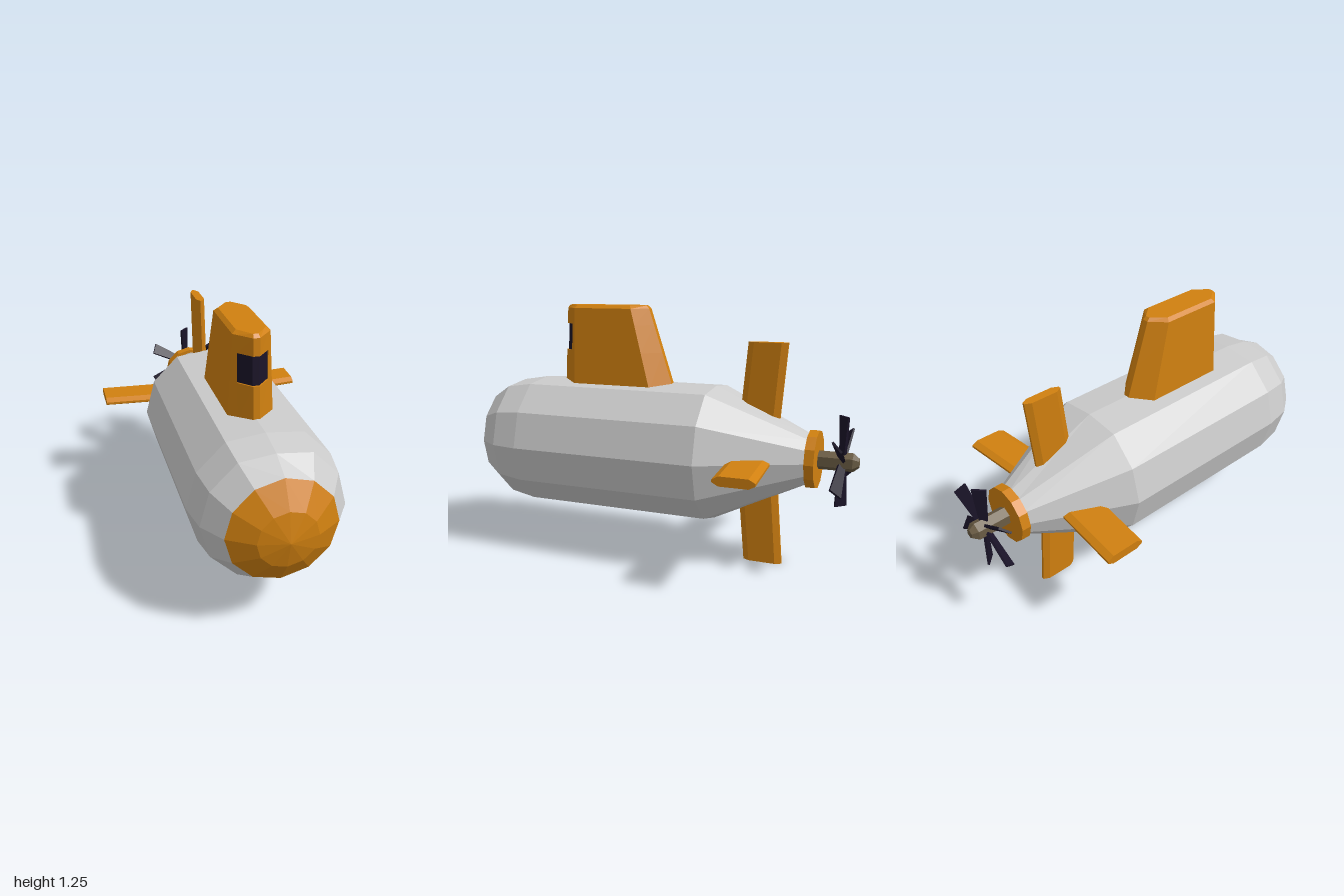
import * as THREE from 'three';

const AXIS_Y = 0.545; // height of the hull's long axis

const mat = (color) => new THREE.MeshStandardMaterial({ color, flatShading: true });
const grey = mat(0xcccccc), orange = mat(0xd08010), dark = mat(0x1a1428), bronze = mat(0x6b5d45);

function part(name, geometry, material) {
  const mesh = new THREE.Mesh(geometry, material);
  mesh.name = name;
  return mesh;
}

// Lathe around the z axis; profile holds [radius, z] from back to front
function turned(profile, sides) {
  const g = new THREE.LatheGeometry(profile.map(([r, z]) => new THREE.Vector2(r, z)), sides);
  return g.rotateX(Math.PI / 2);
}

// Skin over rising rings of [x, y, z], optionally with end caps
function loft(rings, capped = true, closed = true) {
  const pos = [];
  const tri = (...pts) => {
    const [a, b, c] = pts.map((p) => new THREE.Vector3(...p));
    if (b.sub(a).cross(c.sub(a)).length() > 1e-8) pos.push(...pts.flat());
  };
  const n = rings[0].length;
  for (let i = 0; i < rings.length - 1; i++) {
    for (let j = 0; j < (closed ? n : n - 1); j++) {
      const k = (j + 1) % n, lo = rings[i], hi = rings[i + 1];
      tri(lo[j], lo[k], hi[k]);
      tri(lo[j], hi[k], hi[j]);
    }
  }
  if (capped) {
    const first = rings[0], last = rings[rings.length - 1];
    for (let j = 1; j < n - 1; j++) {
      tri(last[0], last[j], last[j + 1]);
      tri(first[0], first[j + 1], first[j]);
    }
  }
  const g = new THREE.BufferGeometry();
  g.setAttribute('position', new THREE.Float32BufferAttribute(pos, 3));
  g.computeVertexNormals();
  return g;
}

// Twelve-sided hull with its top ridge pressed down into a deck
function hullGeometry() {
  const g = turned([[0, -0.78], [0.115, -0.78], [0.35, -0.3], [0.35, 0.65], [0.325, 0.79], [0.25, 0.9]], 12);
  const p = g.attributes.position;
  for (let i = 0; i < p.count; i++) {
    if (Math.abs(p.getX(i)) < 1e-3 && p.getY(i) > 0.3) p.setY(i, p.getY(i) * 0.923);
  }
  g.computeVertexNormals();
  return g;
}

// Sail outline at a height: front window corners at x = +-0.07 can be set back
const WINDOW = { x: 0.07, low: 1.02, high: 1.155, depth: 0.012 };
function sailRing(y, depth = 0) {
  const t = (y - 0.868) / 0.367, mix = THREE.MathUtils.lerp;
  const w = mix(0.105, 0.085, t), tip = 0.015;
  const front = mix(0.525, 0.505, t), shoulder = 0.43;
  const rear = mix(0.02, 0.12, t), tail = mix(-0.07, 0.05, t);
  const wx = WINDOW.x;
  const wz = mix(front, shoulder, (wx - tip) / (w - tip));
  return [
    [w, y, shoulder], [w, y, rear], [tip, y, tail], [-tip, y, tail], [-w, y, rear], [-w, y, shoulder],
    [-wx, y, wz], [-wx, y, wz - depth], [-tip, y, front - depth],
    [tip, y, front - depth], [wx, y, wz - depth], [wx, y, wz],
  ];
}

function makeSail() {
  const { low, high, depth } = WINDOW;
  const sail = new THREE.Group();
  sail.name = 'sail';
  // chamfered roof edge
  const roof = sailRing(1.235).map(([x, , z]) => [x * 0.78, 1.25, 0.28 + (z - 0.28) * 0.935]);
  const rings = [sailRing(0.84), sailRing(low), sailRing(low, depth), sailRing(high, depth),
    sailRing(high), sailRing(1.235), roof];
  sail.add(part('sailBody', loft(rings), orange));
  // pane wrapped around the recessed front
  const pane = [low, high].map((y) => sailRing(y, depth - 0.002).slice(7, 11));
  sail.add(part('sailWindow', loft(pane, false, false), dark));
  return sail;
}

// Swept fin growing along +y from the hull axis
function finGeometry() {
  const ring = (y, lead, trail) => [
    [0.022, y, lead - 0.03], [0.022, y, trail + 0.03], [0.006, y, trail], [-0.006, y, trail],
    [-0.022, y, trail + 0.03], [-0.022, y, lead - 0.03], [-0.006, y, lead], [0.006, y, lead],
  ];
  return loft([ring(0.1, -0.417, -0.614), ring(0.543, -0.458, -0.65)]);
}

// Pitched blade, broader at the tip
function bladeGeometry() {
  const ring = (y, h, t) => [[h, y, t], [h, y, -t], [-h, y, -t], [-h, y, t]];
  return loft([ring(0.02, 0.018, 0.007), ring(0.215, 0.033, 0.005)]).rotateY(Math.PI / 4);
}

export function createModel() {
  const model = new THREE.Group();
  model.name = 'submarine';

  const body = new THREE.Group();
  body.name = 'body';
  body.position.y = AXIS_Y;
  model.add(body, makeSail());

  body.add(part('hull', hullGeometry(), grey));
  body.add(part('noseCap', turned([[0.25, 0.9], [0.135, 0.97], [0, 1]], 12), orange));
  body.add(part('tailCollar', turned([[0, -0.81], [0.14, -0.81], [0.14, -0.765], [0, -0.765]], 12), orange));

  // four fins in a cross
  const fin = finGeometry();
  ['topFin', 'rightFin', 'bottomFin', 'leftFin'].forEach((name, i) => {
    const mesh = part(name, fin, orange);
    mesh.rotation.z = i * Math.PI / 2;
    body.add(mesh);
  });

  // propeller
  const propeller = new THREE.Group();
  propeller.name = 'propeller';
  propeller.add(part('propellerHub',
    turned([[0, -1], [0.022, -0.997], [0.045, -0.97], [0.045, -0.8]], 6), bronze));
  const blade = bladeGeometry();
  for (let i = 0; i < 6; i++) {
    const mesh = part('propellerBlade', blade, dark);
    mesh.position.z = -0.92;
    mesh.rotation.z = i * Math.PI / 3;
    propeller.add(mesh);
  }
  body.add(propeller);
  return model;
}
